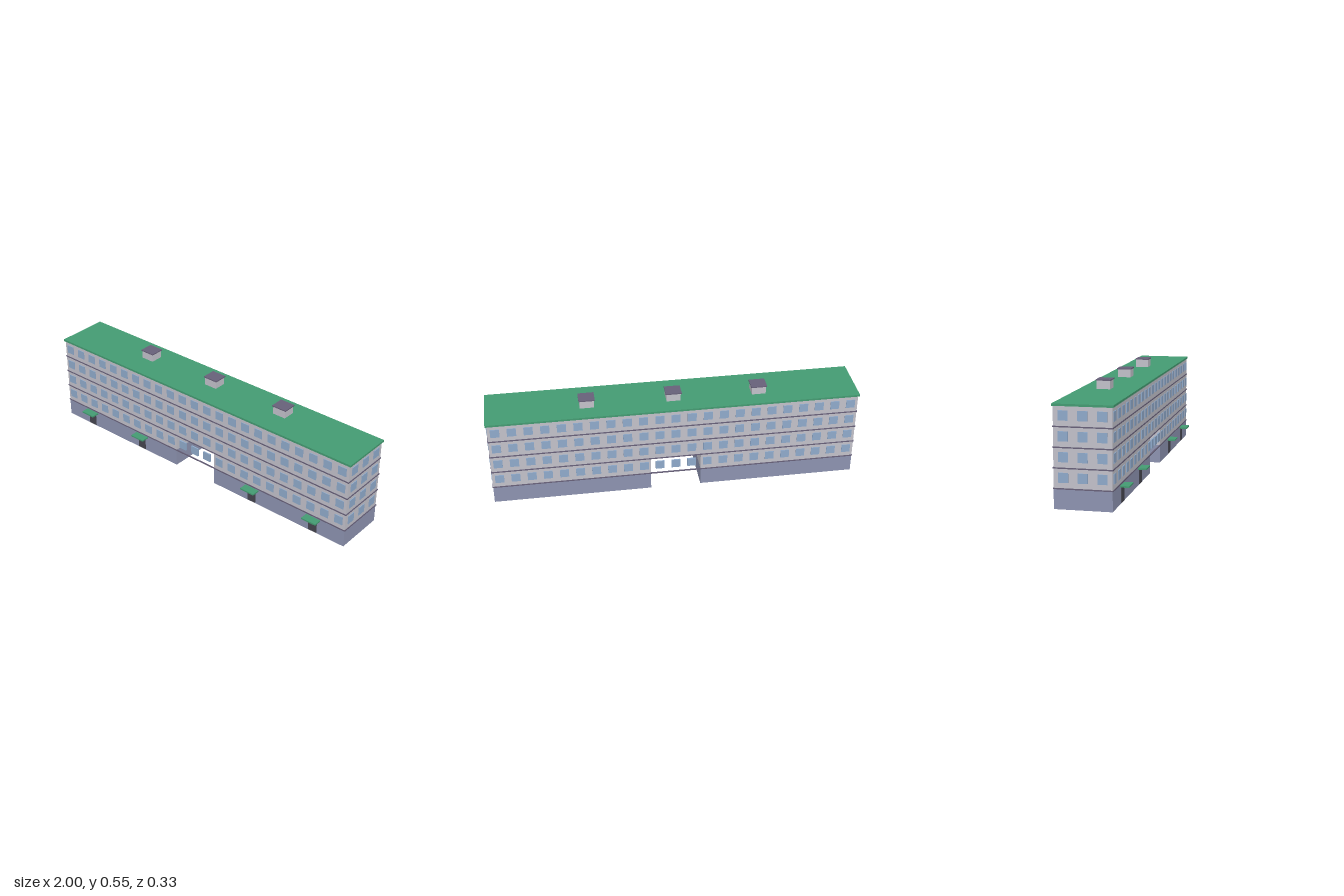
import * as THREE from 'three';

export function createModel() {
  const model = new THREE.Group();
  model.name = 'apartmentBlock';

  const mat = (name, color) => {
    const m = new THREE.MeshStandardMaterial({ color });
    m.name = name;
    return m;
  };
  const wall = mat('pale grey wall', 0xc2c1ca);
  const plinth = mat('blue grey base', 0x8d93b0);
  const glass = mat('blue glass', 0x8faacb);
  const trim = mat('dark violet trim', 0x676079);
  const green = mat('green roof', 0x449b72);
  const dark = mat('dark door', 0x45454f);

  // Box given by its lower and upper limits on each axis
  const box = (name, material, x0, x1, y0, y1, z0, z1, parent = model) => {
    const mesh = new THREE.Mesh(new THREE.BoxGeometry(x1 - x0, y1 - y0, z1 - z0), material);
    mesh.position.set((x0 + x1) / 2, (y0 + y1) / 2, (z0 + z1) / 2);
    mesh.name = name;
    parent.add(mesh);
    return mesh;
  };

  const W = 0.992, ZB = -0.162, ZF = 0.123, ZC = (ZB + ZF) / 2;
  const GAP = 0.137, FLOOR = 0.0985, BASE = 0.1;
  const passageTop = BASE + FLOOR;

  // Two base blocks and first-floor wings either side of the passage
  for (const s of [-1, 1]) {
    const a = s < 0 ? -W : GAP, b = s < 0 ? -GAP : W;
    box('base', plinth, a, b, 0, BASE, ZB, ZF);
    box('firstFloorWing', wall, a, b, BASE, passageTop, ZB, ZF);
  }
  // Upper storeys span the passage
  box('upperFloors', wall, -W, W, passageTop, 0.494, ZB, ZF);
  box('roof', green, -1, 1, 0.493, 0.504, -0.167, 0.129);

  // Ledges around every storey
  const ledges = new THREE.Group();
  ledges.name = 'ledges';
  model.add(ledges);
  for (let f = 0; f < 4; f++) {
    const y0 = BASE + f * FLOOR - 0.003, y1 = y0 + 0.006;
    box('frontLedge', trim, -W - 0.003, W + 0.003, y0, y1, ZF - 0.003, ZF + 0.003, ledges);
    box('backLedge', trim, -W - 0.003, W + 0.003, y0, y1, ZB - 0.003, ZB + 0.003, ledges);
    for (const s of [-1, 1]) {
      box('endLedge', trim, s * W - 0.003, s * W + 0.003, y0, y1, ZB, ZF, ledges);
    }
  }

  // Windows on all four sides
  const windows = new THREE.Group();
  windows.name = 'windows';
  model.add(windows);
  const h = 0.024, t = 0.004;
  for (let f = 0; f < 4; f++) {
    const y = 0.153 + f * FLOOR;
    for (let i = -11; i <= 11; i++) {
      const x = i * 0.0866;
      for (const z of [ZF, ZB]) {
        box('window', glass, x - h, x + h, y - h, y + h, z - t, z + t, windows);
      }
    }
    for (let i = -1; i <= 1; i++) {
      const z = ZC + i * 0.0945;
      for (const x of [-W, W]) {
        box('endWindow', glass, x - t, x + t, y - h, y + h, z - h, z + h, windows);
      }
    }
  }

  // Entrances: door and canopy
  for (const x of [-0.8, -0.4, 0.4, 0.8]) {
    box('door', dark, x - 0.025, x + 0.025, 0.005, 0.081, 0.12, 0.128);
    box('canopy', green, x - 0.044, x + 0.044, 0.084, 0.092, 0.12, 0.168);
  }

  // Roof vents with caps
  for (const x of [-0.463, 0, 0.463]) {
    box('vent', wall, x - 0.038, x + 0.038, 0.5, 0.549, -0.078, -0.008);
    box('ventCap', trim, x - 0.043, x + 0.043, 0.547, 0.553, -0.082, -0.005);
  }

  return model;
}
